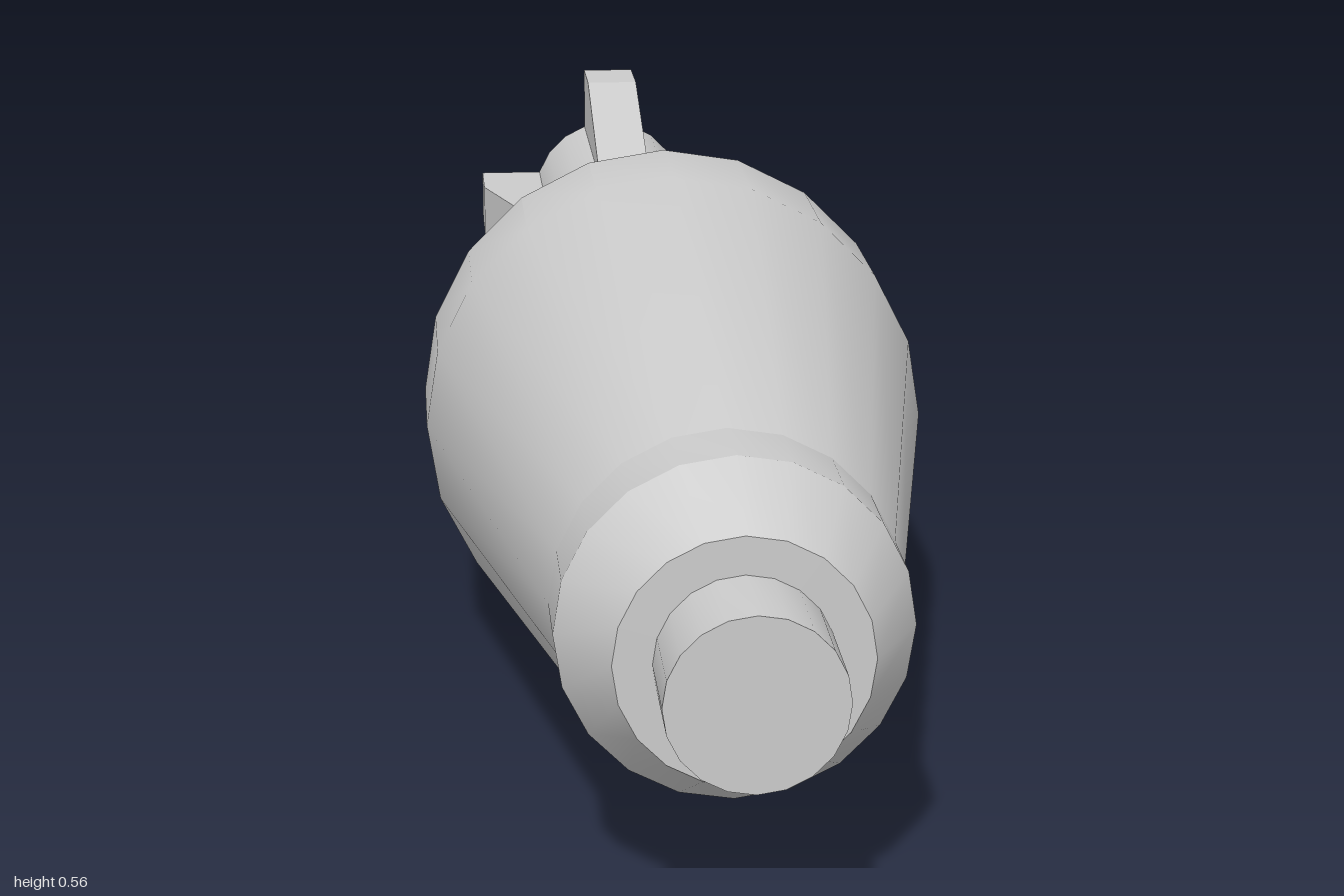
import * as THREE from 'three';
import { toCreasedNormals } from 'three/addons/utils/BufferGeometryUtils.js';

const SIDES = 20;
const AXIS_Y = 0.278;

export function createModel() {
  const model = new THREE.Group();
  model.name = 'finnedShell';
  const material = new THREE.MeshStandardMaterial({ color: 0xcccccc });

  function add(name, geometry) {
    const mesh = new THREE.Mesh(geometry, material);
    mesh.name = name;
    mesh.position.y = AXIS_Y;
    model.add(mesh);
    return mesh;
  }

  // Turned part: profile of [radius, z], running from back to front
  function turned(name, profile) {
    const points = profile.map(([r, z]) => new THREE.Vector2(r, z));
    const geometry = new THREE.LatheGeometry(points, SIDES).rotateX(Math.PI / 2);
    return add(name, toCreasedNormals(geometry, 0.4));
  }

  // Tail tube with a shallow bore open at the back
  turned('tailTube', [[0, -0.89], [0.084, -0.89], [0.084, -1], [0.106, -1], [0.106, -0.66]]);
  // Body swelling to its widest just ahead of the middle
  turned('body', [[0.106, -0.66], [0.278, -0.01], [0.278, 0.14], [0.17, 0.725]]);
  // Straight collar, chamfer and flat front face
  turned('noseCollar', [[0.17, 0.725], [0.17, 0.81], [0.121, 0.895], [0, 0.895]]);
  // Small plug at the tip
  turned('nosePlug', [[0.084, 0.895], [0.084, 1], [0, 1]]);

  // Four tapered fins around the tail tube
  const thickness = 0.068;
  const outline = [[0.09, -1], [0.183, -1], [0.183, -0.905], [0.106, -0.66], [0.09, -0.66]];
  const finShape = new THREE.Shape(outline.map(([r, z]) => new THREE.Vector2(r, z)));
  const finGeometry = new THREE.ExtrudeGeometry(finShape, { depth: thickness, bevelEnabled: false })
    .translate(0, 0, -thickness / 2)
    .rotateX(Math.PI / 2);
  ['leftFin', 'topFin', 'rightFin', 'bottomFin'].forEach((name, i) => {
    add(name, finGeometry).rotation.z = (i * Math.PI) / 2;
  });

  return model;
}
